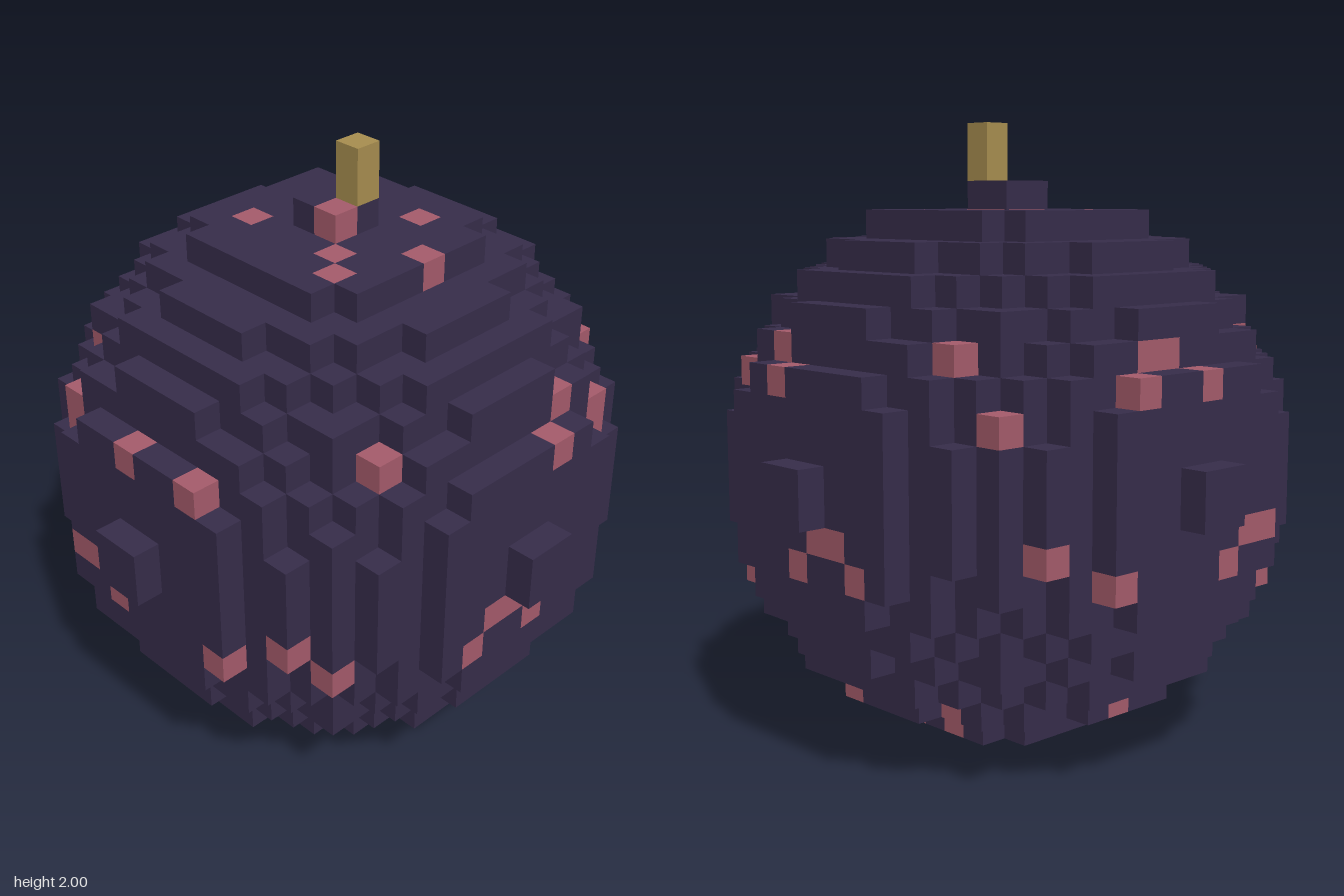
import * as THREE from 'three';

const U = 1 / 11; // edge of one cube
const HALF = 10; // cubes from the centre to the outermost layer

const mat = (name, color) => {
  const m = new THREE.MeshStandardMaterial({ color });
  m.name = name;
  return m;
};

// Spots as [x, height, z] cubes; each of these also appears with x and z swapped
const PAIRED_SPOTS = [
  [-5, 14, 6], [2, 14, 7], [1, 13, 8], [4, 13, 7], [-9, 13, 2], [-1, 13, -9],
  [-8, 8, 5], [-2, 8, 8], [-1, 8, 8], [-4, 8, -9], [-3, 8, -9],
  [-9, 7, 3], [-3, 7, 8], [0, 7, 8], [-2, 7, -9],
  [-3, 2, 4], [1, 2, 5], [-2, 1, 3], [0, 1, 3], [1, 1, 2], [-3, 1, -4],
];
// Spots that appear once
const SINGLE_SPOTS = [
  [-1, 19, 0], [0, 18, 3], [-2, 18, -3], [0, 18, -2], [1, 18, -1], [2, 18, 1],
  [-2, 18, 1], [-3, 18, 2], [0, 14, -8], [1, 14, -8], [-6, 14, -6],
  [-8, 13, -5], [-8, 12, -5], [4, 12, 7], [6, 12, -7], [6, 8, 6],
  [-7, 7, 6], [7, 7, 4], [7, 6, 4], [-5, 7, -8], [-5, 6, -8], [-8, 7, -5],
  [0, 2, -6], [2, 1, -3], [1, 1, -2], [-3, 1, -2], [0, 0, -1],
];

// A cube belongs to the ball when its centre is close enough to the middle
const inside = (x, y, z) =>
  (x + 0.5) ** 2 + (y + 0.5 - HALF) ** 2 + (z + 0.5) ** 2 < 91.5;

// Adds one square of a cube, facing along the axis in the given direction
function addFace(out, cell, axis, dir) {
  const b = (axis + 1) % 3, c = (axis + 2) % 3;
  const corner = (s, t) => {
    const p = [...cell];
    p[axis] += dir > 0 ? 1 : 0;
    p[b] += s;
    p[c] += t;
    return p.map((v) => v * U);
  };
  const q = [corner(0, 0), corner(1, 0), corner(1, 1), corner(0, 1)];
  if (dir < 0) q.reverse();
  for (const n of [0, 1, 2, 0, 2, 3]) out.push(...q[n]);
}

function meshOf(name, positions, material) {
  const g = new THREE.BufferGeometry();
  g.setAttribute('position', new THREE.Float32BufferAttribute(positions, 3));
  g.computeVertexNormals();
  const m = new THREE.Mesh(g, material);
  m.name = name;
  return m;
}

export function createModel() {
  const model = new THREE.Group();
  model.name = 'blockBall';
  const purple = mat('dark purple', 0x372d4b);
  const pink = mat('dusty pink', 0xa75c6c);
  const tan = mat('tan', 0xa98f50);

  const spots = new Set();
  for (const [x, y, z] of PAIRED_SPOTS) spots.add(`${x},${y},${z}`).add(`${z},${y},${x}`);
  for (const s of SINGLE_SPOTS) spots.add(s.join());

  // Outer faces of the stepped ball, sorted by colour
  const shell = [], spotted = [];
  for (let x = -HALF; x < HALF; x++)
    for (let y = 0; y < 2 * HALF; y++)
      for (let z = -HALF; z < HALF; z++) {
        if (!inside(x, y, z)) continue;
        const cell = [x, y, z];
        const out = spots.has(cell.join()) ? spotted : shell;
        for (let axis = 0; axis < 3; axis++)
          for (const dir of [-1, 1]) {
            const next = [...cell];
            next[axis] += dir;
            if (!inside(...next)) addFace(out, cell, axis, dir);
          }
      }
  model.add(meshOf('ball', shell, purple), meshOf('spots', spotted, pink));

  // Stem, one cube wide and two tall
  const stem = new THREE.Mesh(new THREE.BoxGeometry(U, 2 * U, U), tan);
  stem.name = 'stem';
  stem.position.set(U / 2, 21 * U, U / 2);
  model.add(stem);
  return model;
}
